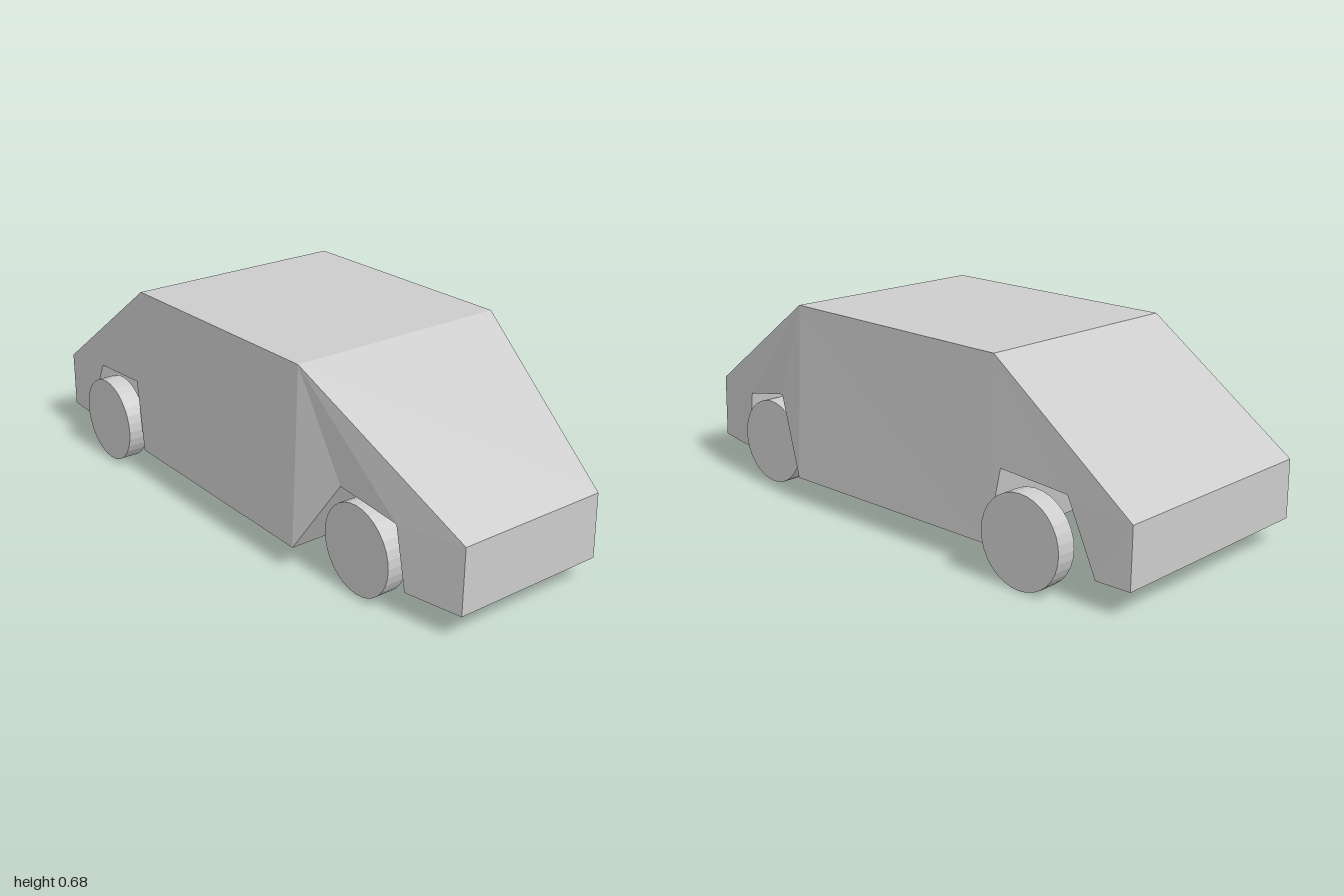
import * as THREE from 'three';

const grey = () => new THREE.MeshStandardMaterial({ color: 0xcccccc, flatShading: true });

// Side outline, clockwise from the nose: [z, y, half width]
const outline = [
  [1, 0.3, 0.266], [0.4, 0.675, 0.386], [-0.48, 0.66, 0.39], [-1, 0.275, 0.398],
  [-1, 0.08, 0.4], [-0.88, 0.08, 0.403], [-0.77, 0.305, 0.398], [-0.52, 0.325, 0.402],
  [-0.475, 0.08, 0.412], [0.4, 0.08, 0.412], [0.555, 0.333, 0.35], [0.77, 0.29, 0.318],
  [0.805, 0.08, 0.312], [1, 0.08, 0.27],
];
// Triangles of one side panel, creased at the roof corners
const panel = [
  [0, 1, 11], [1, 10, 11], [1, 9, 10], [1, 2, 8], [1, 8, 9], [2, 7, 8],
  [2, 6, 7], [2, 3, 6], [3, 5, 6], [3, 4, 5], [0, 11, 12], [0, 12, 13],
];

function bodyGeometry() {
  const n = outline.length;
  const centre = -0.0075;
  const positions = [];
  for (const side of [1, -1]) {
    for (const [z, y, w] of outline) positions.push(centre + side * w, y, z);
  }
  const index = [];
  // Left and right side panels
  for (const [a, b, c] of panel) index.push(a, c, b, n + a, n + b, n + c);
  // Strip across the body: bonnet, roof, tail, underside and wheel arches
  for (let i = 0; i < n; i++) {
    const j = (i + 1) % n;
    index.push(i, j, n + j, i, n + j, n + i);
  }
  const geometry = new THREE.BufferGeometry();
  geometry.setAttribute('position', new THREE.Float32BufferAttribute(positions, 3));
  geometry.setIndex(index);
  const flat = geometry.toNonIndexed();
  flat.computeVertexNormals();
  return flat;
}

export function createModel() {
  const model = new THREE.Group();
  model.name = 'car';

  const body = new THREE.Mesh(bodyGeometry(), grey());
  body.name = 'body';
  model.add(body);

  // Wheels: the front pair sits closer together
  const wheelGeometry = new THREE.CylinderGeometry(0.148, 0.148, 0.068, 32).rotateZ(Math.PI / 2);
  const wheels = [
    ['frontLeftWheel', 0.307, 0.622], ['frontRightWheel', -0.318, 0.622],
    ['rearLeftWheel', 0.423, -0.65], ['rearRightWheel', -0.426, -0.65],
  ];
  for (const [name, x, z] of wheels) {
    const wheel = new THREE.Mesh(wheelGeometry, grey());
    wheel.name = name;
    wheel.position.set(x, 0.148, z);
    model.add(wheel);
  }
  return model;
}
